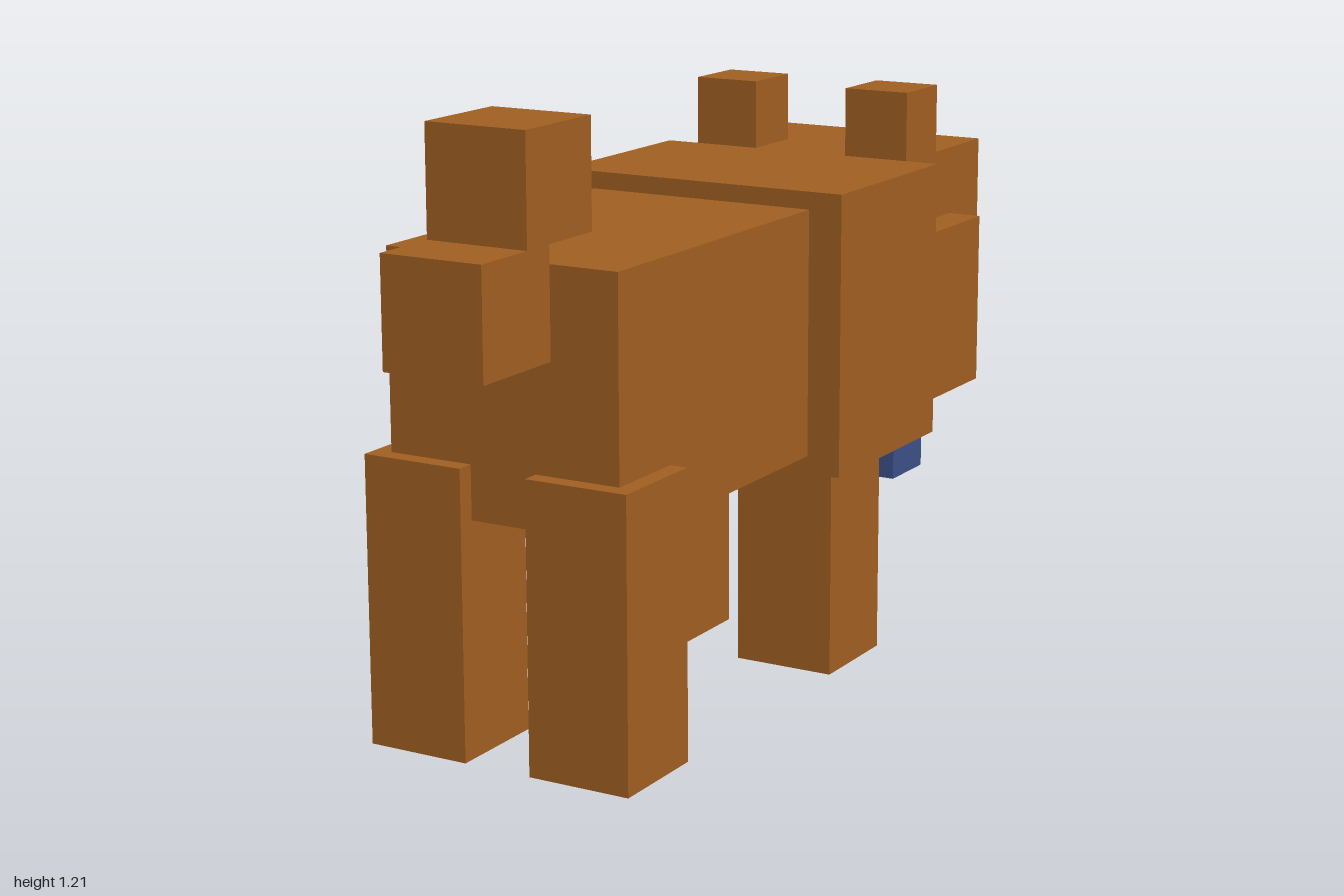
import * as THREE from 'three';

// One block unit; the animal is 28 units long and looks towards -z.
const U = 1 / 14;

export function createModel() {
  const model = new THREE.Group();
  model.name = 'blockDog';

  const fur = new THREE.MeshStandardMaterial({ color: 0xa15f22 });
  fur.name = 'brown fur';
  const black = new THREE.MeshStandardMaterial({ color: 0x222222 });
  black.name = 'black';
  const blue = new THREE.MeshStandardMaterial({ color: 0x3d5087 });
  blue.name = 'blue';

  // Box from its lower and upper bounds in block units
  function block(name, material, [x0, x1], [y0, y1], [z0, z1]) {
    const geometry = new THREE.BoxGeometry((x1 - x0) * U, (y1 - y0) * U, (z1 - z0) * U);
    const mesh = new THREE.Mesh(geometry, material);
    mesh.position.set(((x0 + x1) / 2) * U, ((y0 + y1) / 2) * U, ((z0 + z1) / 2) * U);
    mesh.name = name;
    model.add(mesh);
  }

  // The same box on both sides
  function pair(name, material, [x0, x1], y, z) {
    block(name + 'Left', material, [x0, x1], y, z);
    block(name + 'Right', material, [-x1, -x0], y, z);
  }

  // Trunk
  block('body', fur, [-3.5, 3.5], [6.5, 13.5], [1, 11]);
  block('mane', fur, [-4.5, 4.5], [6, 14], [-5, 1]);
  block('ruff', fur, [-4.5, 4.5], [7, 12], [-8, -5]);

  // Head
  block('head', fur, [-3.5, 3.5], [8, 14], [-10, -5]);
  block('muzzle', fur, [-2, 2], [7.5, 10.5], [-13, -10]);
  block('nose', black, [-1, 1], [9, 10], [-14, -13]);
  block('jaw', fur, [-2, 2], [6, 7], [-12, -8]);
  block('tongue', blue, [-1, 1], [3, 6], [-11.5, -9.5]);
  pair('ear', fur, [1.5, 3.5], [14, 16], [-7, -5]);
  pair('eye', black, [1.5, 2.5], [11, 12], [-10.05, -9.98]);

  // Legs
  pair('frontLeg', fur, [1, 4], [0, 6], [-2.5, 0.5]);
  pair('hindLeg', fur, [1, 4], [0, 8], [8.5, 11.5]);

  // Curled tail
  block('tailBase', fur, [-1.5, 1.5], [11, 14], [11, 14]);
  block('tailTip', fur, [-1.5, 1.5], [14, 17], [9, 12]);

  return model;
}
